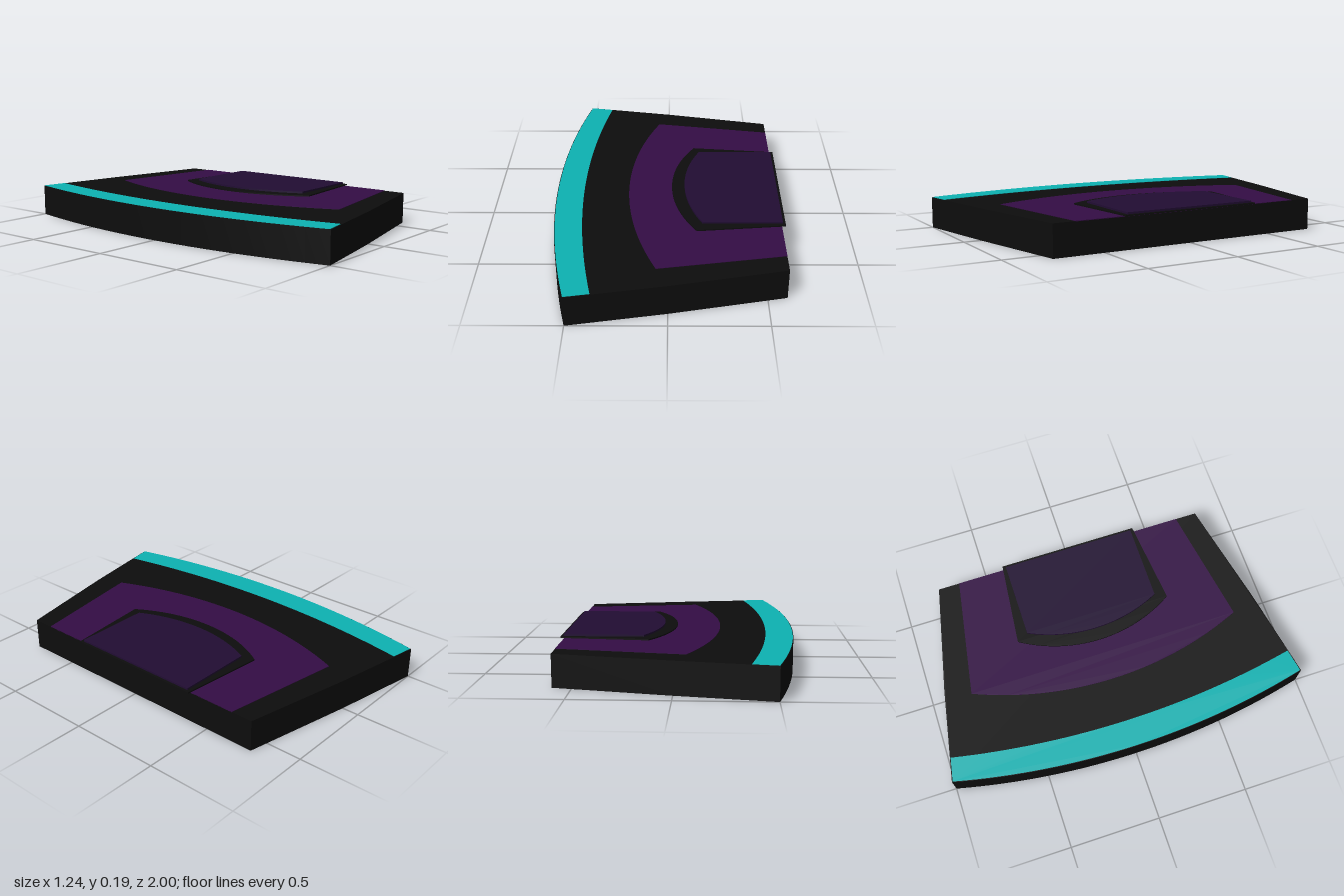
import * as THREE from 'three';

const BODY_TOP = 0.172;

// Points of a circular arc bulging toward -x: ends at (endX, +-halfZ), middle at (apexX, 0)
function arc(apexX, endX, halfZ, steps = 32) {
  const sag = endX - apexX;
  const r = (halfZ * halfZ + sag * sag) / (2 * sag);
  const a = Math.asin(halfZ / r);
  return Array.from({ length: steps + 1 }, (_, i) => {
    const t = a - (2 * a * i) / steps;
    return new THREE.Vector2(apexX + r - r * Math.cos(t), r * Math.sin(t));
  });
}

// Flat slab from a plan outline, standing between two heights
function slab(name, points, y0, y1, color) {
  const geometry = new THREE.ExtrudeGeometry(new THREE.Shape(points), { depth: y1 - y0, bevelEnabled: false });
  geometry.rotateX(-Math.PI / 2);
  geometry.translate(0, y0, 0);
  const mesh = new THREE.Mesh(geometry, new THREE.MeshStandardMaterial({ color }));
  mesh.name = name;
  return mesh;
}

// Outline with a curved left edge and straight sides mirrored in z
function curvedOutline(apexX, endX, halfZ, ...side) {
  const lower = side.map(([x, z]) => new THREE.Vector2(x, -z));
  const upper = side.map(([x, z]) => new THREE.Vector2(x, z)).reverse();
  return [...arc(apexX, endX, halfZ), ...lower, ...upper];
}

export function createModel() {
  const group = new THREE.Group();
  group.name = 'curvedPanel';

  // Thick wedge-shaped base
  group.add(slab('base', curvedOutline(-0.62, -0.5, 1, [0, 0.908], [0.6, 0.78]), 0, BODY_TOP - 0.002, 0x0d0d0d));

  // Bright band along the curved edge
  const band = [...arc(-0.617, -0.498, 0.995), ...arc(-0.47, -0.37, 0.972).reverse()];
  group.add(slab('edgeBand', band, BODY_TOP - 0.004, BODY_TOP, 0x0db3b3));

  // Purple inlay
  group.add(slab('inlay', curvedOutline(-0.22, -0.06, 0.77, [0.6, 0.66]), BODY_TOP - 0.004, BODY_TOP, 0x340d45));

  // Raised dark plate, slightly overhanging the straight edge
  group.add(slab('raisedPlate', curvedOutline(0.02, 0.15, 0.442, [0.62, 0.395]), BODY_TOP + 0.001, 0.18, 0x0d0d0d));

  // Top panel on the plate
  group.add(slab('topPanel', curvedOutline(0.09, 0.18, 0.378, [0.605, 0.378]), 0.18, 0.19, 0x210d33));

  return group;
}
